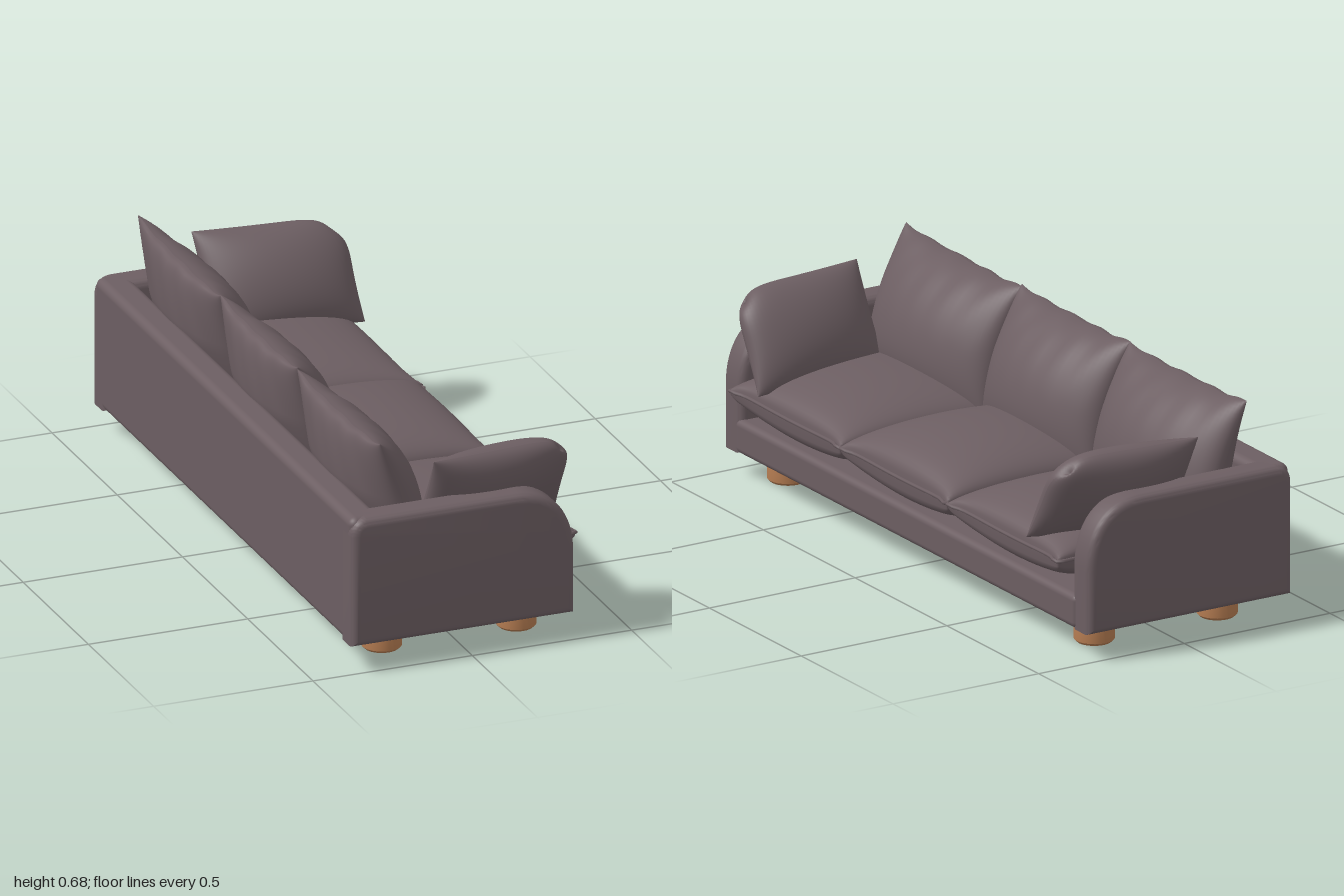
import * as THREE from 'three';
import { toCreasedNormals } from 'three/addons/utils/BufferGeometryUtils.js';
import { RoundedBoxGeometry } from 'three/addons/geometries/RoundedBoxGeometry.js';

const fabric = new THREE.MeshStandardMaterial({ color: 0x6c5e62 });
fabric.name = 'mauve grey fabric';
const wood = new THREE.MeshStandardMaterial({ color: 0xb27a50 });
wood.name = 'oak wood';

function addMesh(parent, name, geometry, material, x = 0, y = 0, z = 0) {
  const mesh = new THREE.Mesh(geometry, material);
  mesh.name = name;
  mesh.position.set(x, y, z);
  parent.add(mesh);
  return mesh;
}

// Box given by its two corners, with rounded edges
function addBox(parent, name, min, max, radius) {
  const s = max.map((m, i) => m - min[i]);
  const c = max.map((m, i) => (m + min[i]) / 2);
  addMesh(parent, name, new RoundedBoxGeometry(...s, 4, radius), fabric, ...c);
}

// Fullness of a stuffed cushion: 1 in the middle, 0 along the seam
const puff = (u, v, p) => Math.pow(Math.max(0, (1 - u * u) * (1 - v * v)), p);

// Two curved sheets meeting at a seam; shape(u, v, side) gives a point, mirror = -1 flips z
function cushion(shape, mirror = 1, n = 32) {
  const pos = [], index = [];
  for (const side of [1, -1]) {
    const start = pos.length / 3;
    for (let j = 0; j <= n; j++) {
      for (let i = 0; i <= n; i++) {
        const u = Math.sin((i / n - 0.5) * Math.PI);
        const v = Math.sin((j / n - 0.5) * Math.PI);
        const [x, y, z] = shape(u, v, side);
        pos.push(x, y, z * mirror);
      }
    }
    for (let j = 0; j < n; j++) {
      for (let i = 0; i < n; i++) {
        const a = start + j * (n + 1) + i, b = a + 1, c = a + n + 1, d = c + 1;
        if (side * mirror > 0) index.push(a, b, d, a, d, c);
        else index.push(a, d, b, a, c, d);
      }
    }
  }
  const g = new THREE.BufferGeometry();
  g.setAttribute('position', new THREE.Float32BufferAttribute(pos, 3));
  g.setIndex(index);
  g.computeVertexNormals();
  return g;
}

// Seat cushion: u runs along z, v from back to front
const seatShape = (zc, half, crown) => (u, v, side) => {
  const t = side > 0 ? crown * puff(u, v, 0.36) : -0.105 * puff(u, v, 0.24);
  const x = 0.035 + 0.315 * v + (v > 0 ? 0.018 * v * v * Math.pow(u, 6) : 0);
  const z = zc + u * half * (1 - 0.015 * (1 - v * v));
  return [x, 0.28 + t + 0.008 * v * u * u, z];
};

// Back cushion: u runs upwards, v along z
const backShape = (zc, half, lift) => (u, v, side) => {
  const top = Math.max(0, u);
  const f = puff(u, v, 0.46);
  const wrinkle = 0.005 * Math.sin(v * 17 + u * 3 + zc * 9) * top * f;
  const t = side > 0 ? 0.12 * f + wrinkle : -(0.11 - 0.035 * top) * f - wrinkle;
  const x = -0.185 - 0.055 * u - 0.02 * top * top + t;
  const corner = top * top * top * (0.014 * Math.pow(v, 4) + lift * v + 0.003 * Math.sin(v * 13));
  const z = zc + v * half * (1 - 0.03 * (1 - u * u));
  return [x, 0.475 + 0.185 * u + corner, z];
};

// Throw pillow leaning on an arm: u runs along x, v upwards
const throwShape = (u, v, side) => {
  const t = side * 0.088 * puff(u, v, 0.5);
  const round = Math.max(0, u) ** 4 * Math.max(0, v) ** 3;
  const x = 0.14 + 0.232 * u * (1 - 0.04 * (1 - v * v)) - 0.055 * round;
  const y = 0.457 + 0.14 * v * (1 - 0.02 * (1 - u * u)) - 0.05 * round - 0.4 * t;
  return [x, y, 0.83 + 0.078 * v - 0.022 * u + 0.9 * t];
};

// Raised seam running around a cushion
function piping(shape) {
  const pts = [];
  const n = 10;
  for (let k = 0; k < 4; k++) {
    for (let i = 0; i < n; i++) {
      const s = -1 + (2 * i) / n;
      const [u, v] = [[s, -1], [1, s], [-s, 1], [-1, -s]][k];
      pts.push(new THREE.Vector3(...shape(u, v, 1)));
    }
  }
  return new THREE.TubeGeometry(new THREE.CatmullRomCurve3(pts, true), 100, 0.006, 6, true);
}

// Arm panel with a big rounded front top corner
function armGeometry() {
  const b = 0.025;
  const [x0, x1, y0, y1] = [-0.375 + b, 0.325 - b, 0.08 + b, 0.48 - b];
  const s = new THREE.Shape();
  s.moveTo(x0, y0);
  s.lineTo(x1, y0);
  s.lineTo(x1, 0.27);
  s.bezierCurveTo(x1, 0.38, 0.25, y1, 0.14, y1);
  s.lineTo(x0 + 0.03, y1);
  s.quadraticCurveTo(x0, y1, x0, y1 - 0.03);
  s.closePath();
  const g = new THREE.ExtrudeGeometry(s, {
    depth: 0.1 - 2 * b, bevelEnabled: true, bevelSize: b, bevelThickness: b,
    bevelSegments: 5, curveSegments: 16,
  });
  g.translate(0, 0, -(0.05 - b));
  return toCreasedNormals(g, 0.6);
}

// Round wooden leg with softened edges
function legGeometry(r) {
  const profile = [[0, 0], [r - 0.008, 0], [r, 0.008], [r, 0.074], [r - 0.004, 0.085], [0, 0.085]];
  const g = new THREE.LatheGeometry(profile.map(p => new THREE.Vector2(...p)), 24);
  return toCreasedNormals(g, 0.6);
}

export function createModel() {
  const sofa = new THREE.Group();
  sofa.name = 'sofa';

  // Frame
  addBox(sofa, 'base', [-0.36, 0.08, -0.93], [0.33, 0.185, 0.93], 0.02);
  addBox(sofa, 'backPanel', [-0.375, 0.08, -0.985], [-0.275, 0.48, 0.985], 0.025);
  const arm = armGeometry();
  addMesh(sofa, 'leftArm', arm, fabric, 0, 0, -0.95);
  addMesh(sofa, 'rightArm', arm, fabric, 0, 0, 0.95);

  // Seat and back cushions
  ['left', 'middle', 'right'].forEach((label, i) => {
    const k = i - 1;
    const seat = seatShape(k * 0.593, k ? 0.3 : 0.29, k ? 0.1 : 0.115);
    addMesh(sofa, label + 'SeatCushion', cushion(seat), fabric);
    addMesh(sofa, label + 'SeatPiping', piping(seat), fabric);
    const back = backShape(k * 0.61, k ? 0.318 : 0.298, k * 0.004);
    addMesh(sofa, label + 'BackCushion', cushion(back), fabric);
  });

  // Throw pillows
  addMesh(sofa, 'leftThrowPillow', cushion(throwShape, -1), fabric);
  addMesh(sofa, 'rightThrowPillow', cushion(throwShape, 1), fabric);

  // Legs
  const leg = legGeometry(0.06);
  for (const x of [-0.217, 0.205]) {
    for (const z of [-0.835, 0.835]) addMesh(sofa, 'cornerLeg', leg, wood, x, 0, z);
  }
  addMesh(sofa, 'middleLeg', legGeometry(0.03), wood, -0.012, 0, 0);

  return sofa;
}
